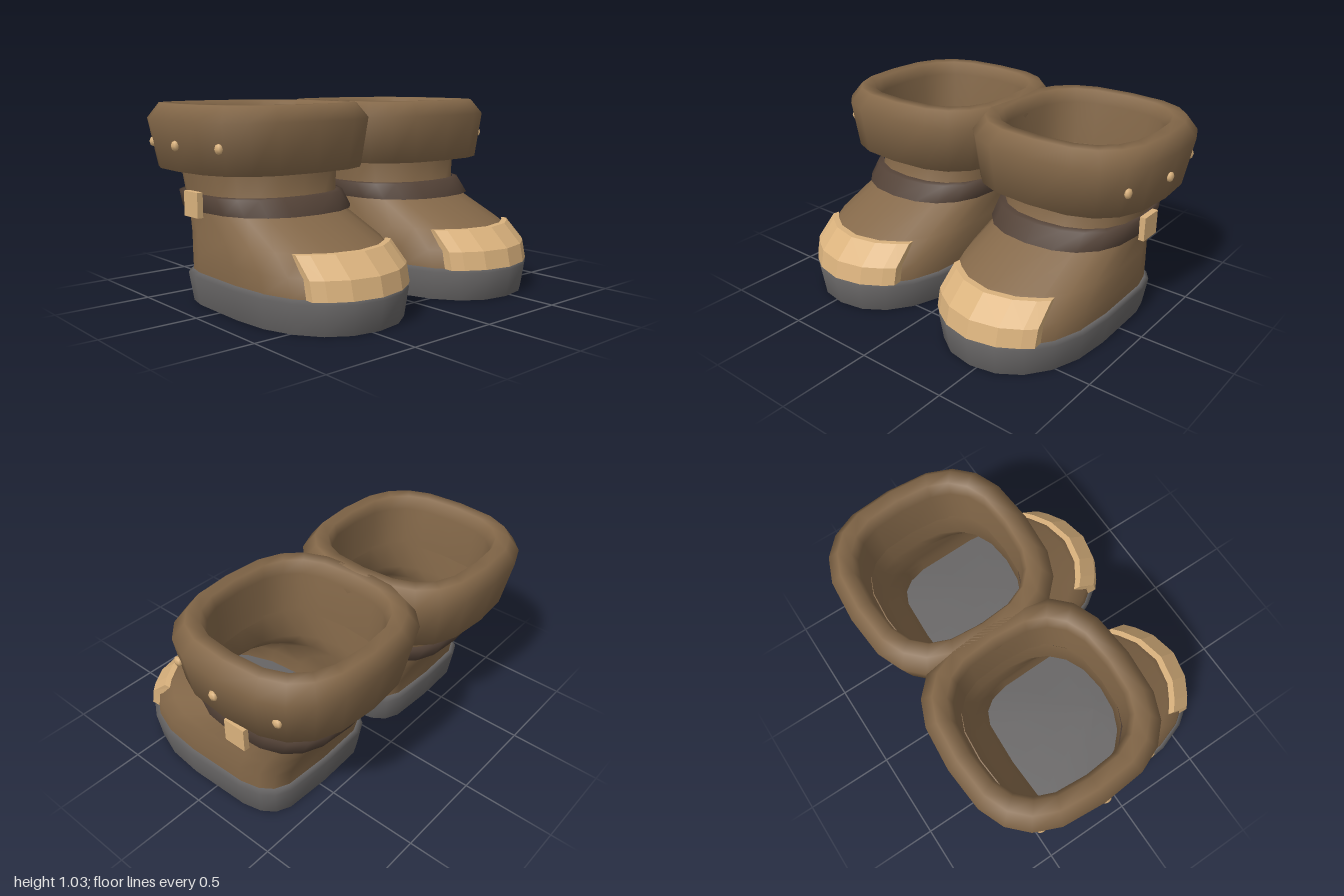
import * as THREE from 'three';

const material = (name, color, side = THREE.FrontSide) => {
  const m = new THREE.MeshStandardMaterial({ color, side });
  m.name = name;
  return m;
};

const SEGMENTS = 20;
const spow = (v, p) => Math.sign(v) * Math.pow(Math.abs(v), p);

// Loft through level rings: [y, front z, back z, half width, squareness of the back half].
function loft(rings, nFront) {
  const pos = [], index = [];
  rings.forEach(([y, zf, zb, half, nBack]) => {
    const zc = (zf + zb) / 2, depth = (zf - zb) / 2;
    for (let i = 0; i < SEGMENTS; i++) {
      const t = (i / SEGMENTS) * Math.PI * 2;
      const n = Math.sin(t) >= 0 ? nFront : nBack;
      pos.push(half * spow(Math.cos(t), 2 / n), y, zc + depth * spow(Math.sin(t), 2 / n));
    }
  });
  for (let r = 0; r < rings.length - 1; r++) {
    for (let i = 0; i < SEGMENTS; i++) {
      const j = (i + 1) % SEGMENTS;
      const a = r * SEGMENTS + i, b = r * SEGMENTS + j;
      index.push(a, a + SEGMENTS, b, b, a + SEGMENTS, b + SEGMENTS);
    }
  }
  const g = new THREE.BufferGeometry();
  g.setAttribute('position', new THREE.Float32BufferAttribute(pos, 3));
  g.setIndex(index);
  g.computeVertexNormals();
  return g;
}

// Faceted toe plate: a closed [y, z, half width] section swept across x, bending back at the ends.
function toeCapGeometry() {
  const section = [
    [0.165, 0.757, 0.305], [0.26, 0.735, 0.305], [0.36, 0.625, 0.3],
    [0.36, 0.59, 0.295], [0.25, 0.685, 0.3], [0.165, 0.69, 0.3],
  ];
  const columns = [-1, -0.83, -0.5, 0, 0.5, 0.83, 1];
  const n = section.length, pos = [], index = [];
  columns.forEach((u) => section.forEach(([y, z, half]) =>
    pos.push(u * half, y, z - 0.138 * Math.pow(Math.abs(u), 2.1))));
  for (let c = 0; c < columns.length - 1; c++) {
    for (let k = 0; k < n; k++) {
      const a = c * n + k, b = c * n + (k + 1) % n;
      index.push(a, a + n, b, b, a + n, b + n);
    }
  }
  // end faces, between the outer and inner edges
  const last = (columns.length - 1) * n;
  [[0, 1, 4], [0, 4, 5], [1, 2, 3], [1, 3, 4]].forEach(([a, b, c]) => {
    index.push(a, b, c, last + a, last + c, last + b);
  });
  const g = new THREE.BufferGeometry();
  g.setAttribute('position', new THREE.Float32BufferAttribute(pos, 3));
  g.setIndex(index);
  const flat = g.toNonIndexed();
  flat.computeVertexNormals();
  return flat;
}

export function createModel() {
  const leather = material('brown leather', 0x846849, THREE.DoubleSide);
  const rubber = material('grey rubber', 0x686666);
  const strapLeather = material('dark strap leather', 0x524136);
  const brass = material('tan trim', 0xdab27d, THREE.DoubleSide);

  const geometries = {
    sole: loft([
      [0, 0.165, 0.165, 0, 5], [0, 0.71, -0.38, 0.385, 5], [0, 0.735, -0.405, 0.41, 5],
      [0.15, 0.757, -0.425, 0.432, 5], [0.17, 0.72, -0.4, 0.412, 5], [0.17, 0.165, 0.165, 0, 5],
    ], 2.2),
    upper: loft([
      [0.165, 0.72, -0.4, 0.41, 5], [0.26, 0.69, -0.41, 0.415, 4.5], [0.36, 0.56, -0.455, 0.4, 3.8],
      [0.48, 0.26, -0.525, 0.376, 3], [0.57, 0.175, -0.56, 0.376, 2.9], [0.74, 0.172, -0.595, 0.395, 2.9],
    ], 2.3),
    strap: loft([
      [0.496, 0.25, -0.535, 0.38, 3], [0.488, 0.29, -0.565, 0.403, 3],
      [0.568, 0.215, -0.6, 0.403, 2.9], [0.573, 0.178, -0.564, 0.38, 2.9],
    ], 2.35),
    cuff: loft([
      [0.73, 0.165, -0.585, 0.385, 2.8], [0.695, 0.275, -0.705, 0.495, 2.8], [0.95, 0.305, -0.755, 0.54, 2.8],
      [1.03, 0.245, -0.7, 0.48, 2.8], [1.03, 0.18, -0.635, 0.415, 2.8],
      [0.96, 0.168, -0.615, 0.385, 2.8], [0.72, 0.165, -0.59, 0.375, 2.8],
    ], 2.8),
    toeCap: toeCapGeometry(),
    buckle: new THREE.BoxGeometry(0.032, 0.13, 0.13),
    rivet: new THREE.SphereGeometry(0.027, 8, 4).scale(0.65, 1, 1),
  };

  const model = new THREE.Group();
  model.name = 'pair of boots';

  [['leftBoot', 1], ['rightBoot', -1]].forEach(([name, side]) => {
    const boot = new THREE.Group();
    boot.name = name;
    boot.position.x = side * 0.46;
    const add = (part, mat, x = 0, y = 0, z = 0) => {
      const mesh = new THREE.Mesh(geometries[part], mat);
      mesh.name = part;
      mesh.position.set(side * x, y, z);
      boot.add(mesh);
    };

    add('sole', rubber);
    add('upper', leather);
    add('strap', strapLeather);
    add('cuff', leather);
    add('toeCap', brass);

    // buckle and rivets on the outer side
    add('buckle', brass, 0.418, 0.525, -0.207);
    [[0.462, 0.115], [0.522, -0.19], [0.462, -0.53]].forEach(([x, z]) =>
      add('rivet', brass, x, 0.827, z));

    model.add(boot);
  });

  return model;
}
